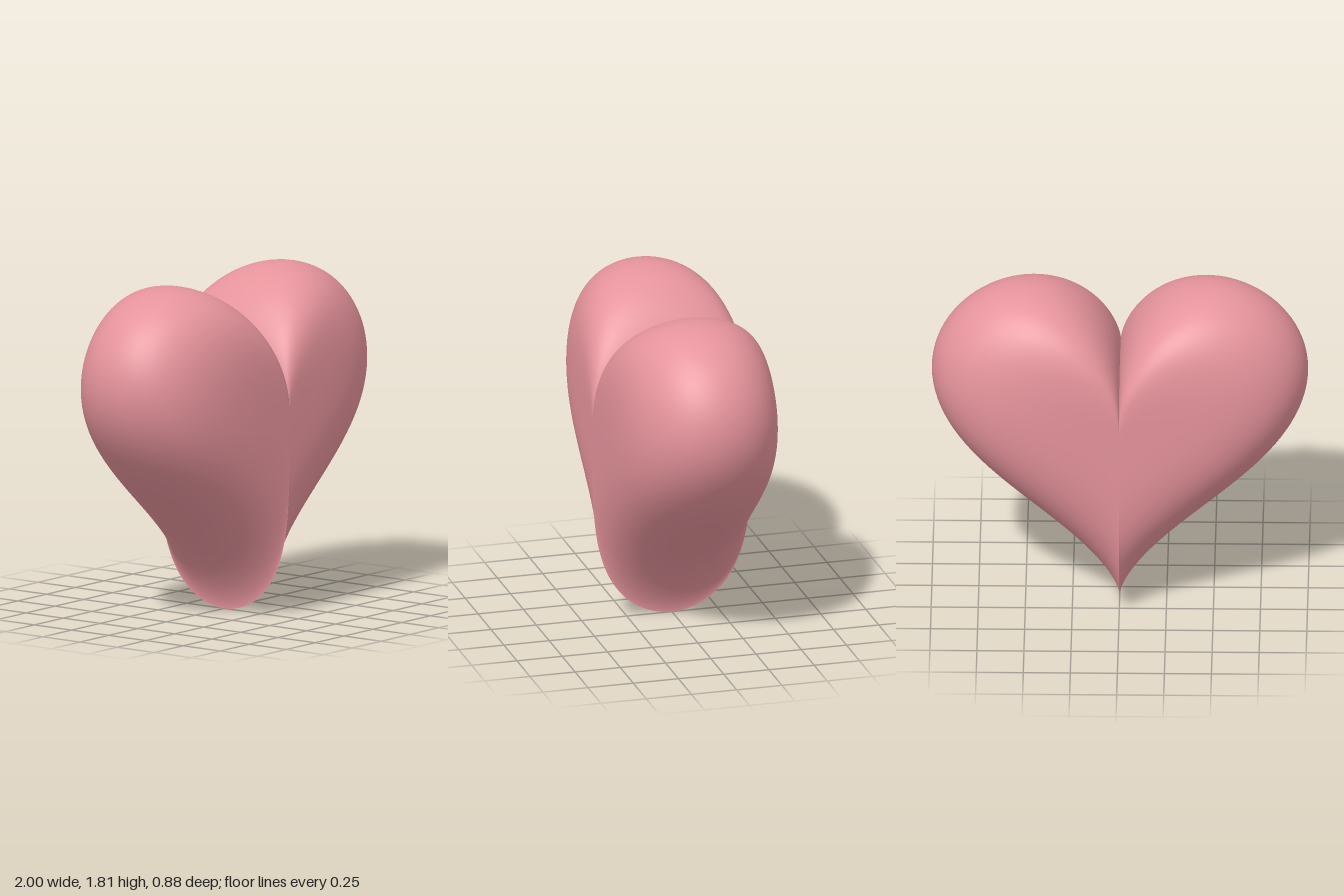
import * as THREE from 'three';

const ARC = 96;      // steps along the outline of one lobe
const ROWS = 72;     // steps from front to back
const UNIT = 1 / 16; // outline is drawn 32 units wide
const DEPTH = 0.44;  // half thickness

// Heart outline around its own centre
function outline(t) {
  return [
    16 * Math.sin(t) ** 3 * UNIT,
    (13 * Math.cos(t) - 5 * Math.cos(2 * t) - 2 * Math.cos(3 * t) - Math.cos(4 * t)) * UNIT,
  ];
}

// One half of the heart: the outline grows and shrinks through the depth
// to give flat faces with full, rounded sides.
function lobeGeometry(start) {
  const positions = [], indices = [];
  for (let j = 0; j <= ROWS; j++) {
    const phi = (j / ROWS) * Math.PI;
    const scale = Math.sqrt(Math.max(0, Math.sin(phi)));
    for (let i = 0; i <= ARC; i++) {
      const [x, y] = outline(start + (i / ARC) * Math.PI);
      positions.push(x * scale, y * scale + 17 * UNIT, Math.cos(phi) * DEPTH);
    }
  }
  for (let j = 0; j < ROWS; j++) {
    for (let i = 0; i < ARC; i++) {
      const a = j * (ARC + 1) + i, b = a + 1, c = a + ARC + 1, d = c + 1;
      if (j > 0) indices.push(a, b, c);
      if (j < ROWS - 1) indices.push(b, d, c);
    }
  }
  const geometry = new THREE.BufferGeometry();
  geometry.setAttribute('position', new THREE.Float32BufferAttribute(positions, 3));
  geometry.setIndex(indices);
  geometry.computeVertexNormals();
  return geometry;
}

export function createModel() {
  const heart = new THREE.Group();
  heart.name = 'heart';
  const pink = new THREE.MeshStandardMaterial({ color: 0xe5939b });
  pink.name = 'rose pink';

  // Separate halves keep the central crease sharp
  for (const [name, start] of [['leftLobe', 0], ['rightLobe', Math.PI]]) {
    const lobe = new THREE.Mesh(lobeGeometry(start), pink);
    lobe.name = name;
    heart.add(lobe);
  }
  return heart;
}
